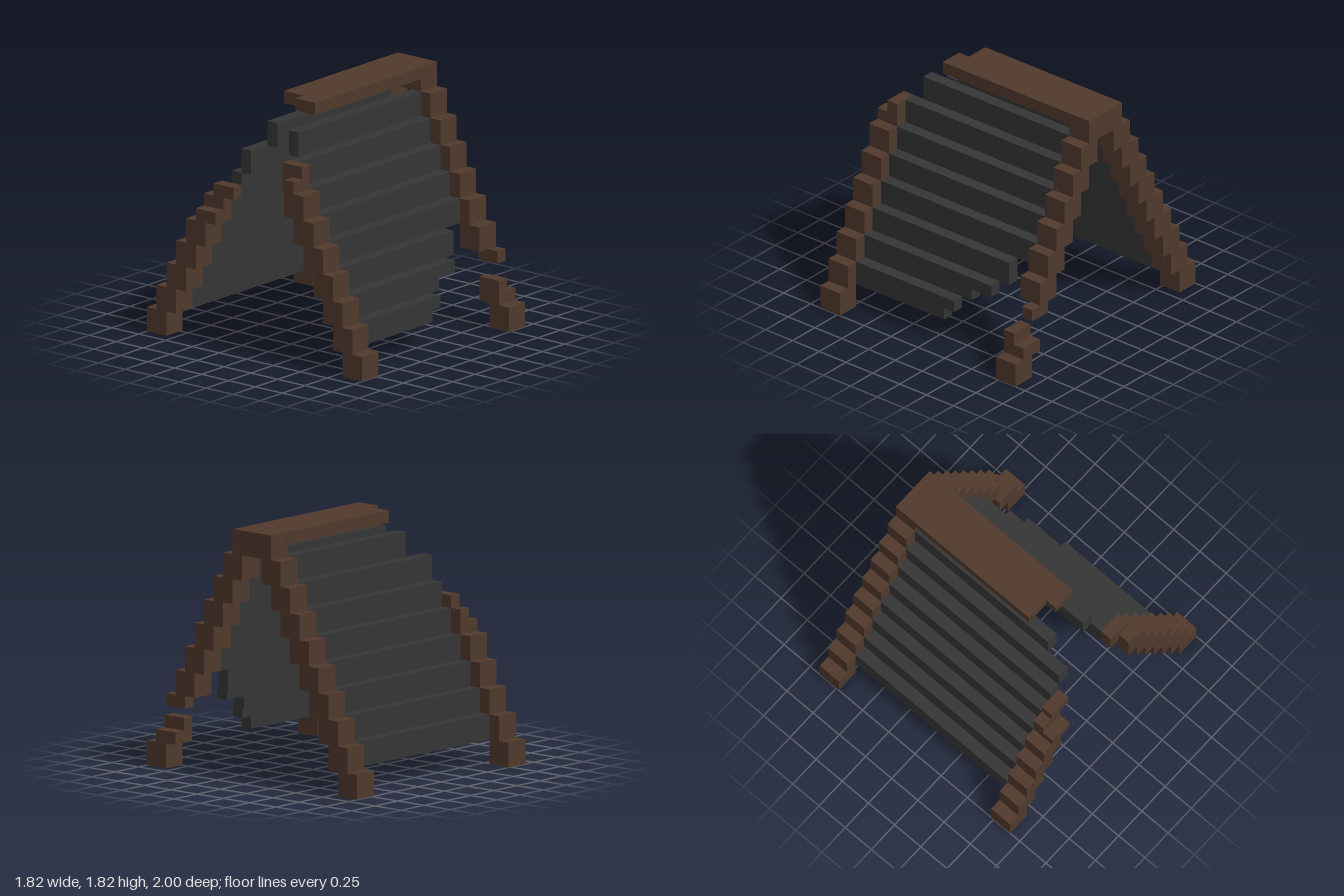
import * as THREE from 'three';

const U = 1 / 11; // one block unit

export function createModel() {
  const model = new THREE.Group();
  model.name = 'ruinedTentFrame';
  const wood = new THREE.MeshStandardMaterial({ color: 0x50392c });
  wood.name = 'brown wood';
  const cloth = new THREE.MeshStandardMaterial({ color: 0x353535 });
  cloth.name = 'charcoal cloth';

  // Box given by its limits in block units
  function block(name, mat, x0, x1, y0, y1, z0, z1) {
    const geo = new THREE.BoxGeometry((x1 - x0) * U, (y1 - y0) * U, (z1 - z0) * U);
    const mesh = new THREE.Mesh(geo, mat);
    mesh.name = name;
    mesh.position.set((x0 + x1) / 2 * U, (y0 + y1) / 2 * U, (z0 + z1) / 2 * U);
    model.add(mesh);
  }

  // Same box, with depth measured outwards on one side (1 front, -1 back)
  function sided(side, name, mat, x0, x1, y0, y1, d0, d1) {
    block(name, mat, x0, x1, y0, y1, side > 0 ? d0 : -d1, side > 0 ? d1 : -d0);
  }

  // Stepped posts: each step rises two units and moves in one
  function post(name, side, x0, steps) {
    for (const i of steps) sided(side, name, wood, x0, x0 + 2, 2 * i, 2 * i + 2, 9 - i, 11 - i);
  }
  post('frontLeftPost', 1, 8, [0, 3, 4, 5, 6, 7, 8]);
  post('backLeftPost', -1, 8, [0, 1, 2, 3, 4, 5, 6, 7, 8]);
  post('frontRightPost', 1, -10, [0, 1, 2, 3, 4, 5, 6]);
  post('backRightPost', -1, -10, [0, 1, 2, 3, 4]);

  // Broken pieces of the front left post
  block('frontLeftPostStump', wood, 8, 9, 2, 4, 8, 10);
  block('frontLeftPostStump', wood, 9, 10, 2, 3, 8, 10);
  block('frontLeftPostSplinter', wood, 9, 10, 5, 6, 7, 9);

  // Broken tops of the right posts
  block('frontRightPostTip', wood, -9, -8, 14, 16, 2, 4);
  block('frontRightPostTip', wood, -10, -9, 14, 15, 3, 4);
  block('backRightPostTip', wood, -9, -8, 10, 12, -6, -4);
  block('backRightPostTip', wood, -10, -9, 10, 11, -6, -4);
  block('backRightPostTip', wood, -9, -8, 12, 13, -5, -3);

  // Ridge beam with its ragged end
  block('ridgeEnd', wood, 8, 10, 18, 20, -2, 2);
  block('ridgeBeam', wood, -4, 8, 19, 20, -2, 2);
  block('ridgeBeamTip', wood, -5, -4, 19, 20, 0, 2);

  // Cloth rows; the torn front corner is cut in single-unit rows
  const tornEnds = { 2: 1, 3: 2, 4: 3, 5: 5 };
  for (let i = 1; i <= 8; i++) {
    const d = 9 - i, y = 2 * i;
    sided(-1, 'backCloth', cloth, i === 8 ? -6 : -8, 8, y, y + 2, d, d + 1);
    if (i <= 2) {
      for (const row of [y, y + 1]) sided(1, 'frontCloth', cloth, -8, tornEnds[row], row, row + 1, d, d + 1);
    } else {
      sided(1, 'frontCloth', cloth, i === 8 ? -7 : -8, i === 3 ? 6 : 8, y, y + 2, d, d + 1);
    }
  }
  return model;
}
